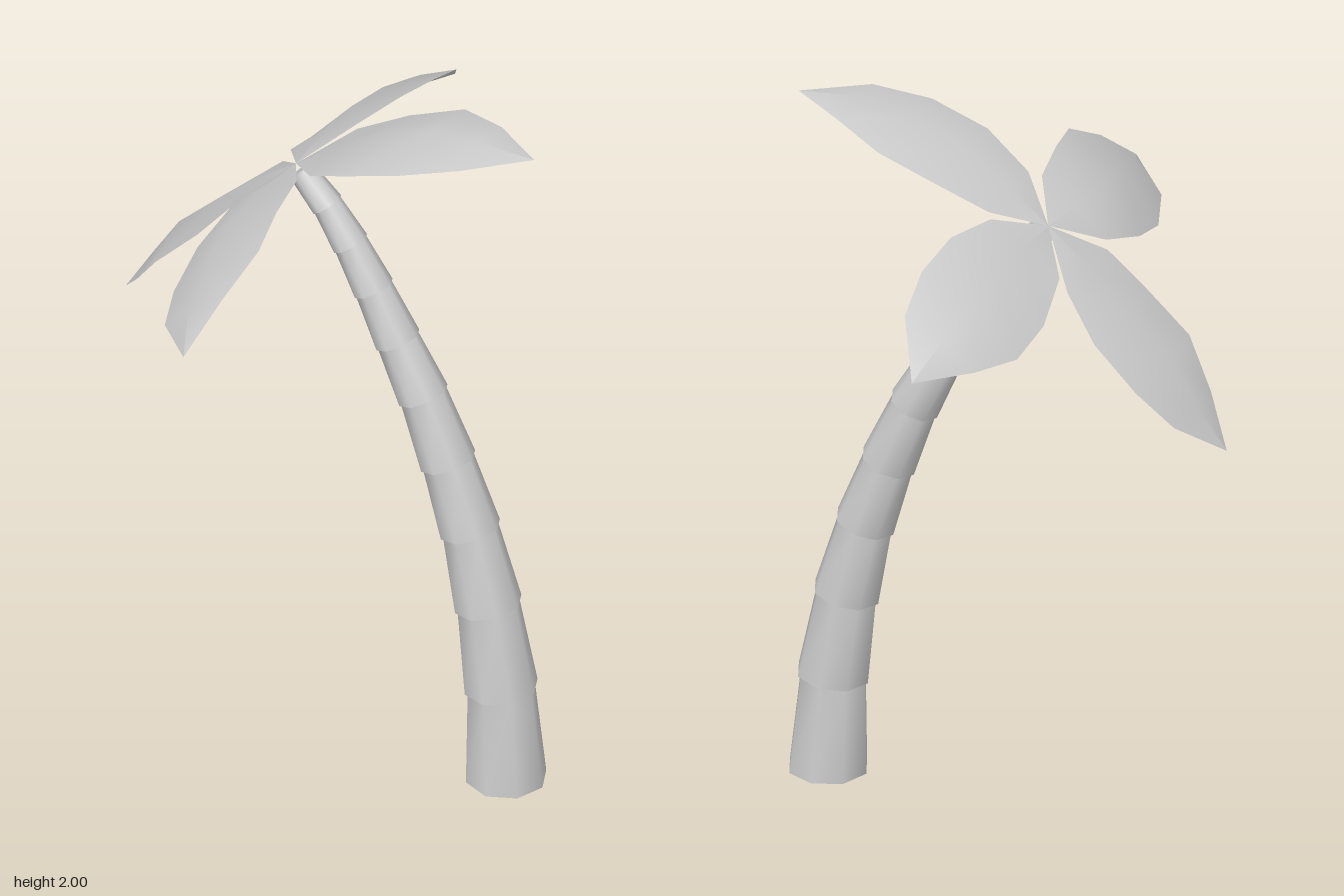
import * as THREE from 'three';

const material = new THREE.MeshStandardMaterial({ color: 0xcccccc, side: THREE.DoubleSide });

function makeMesh(name, points, index) {
  const geometry = new THREE.BufferGeometry().setFromPoints(points);
  geometry.setIndex(index);
  geometry.computeVertexNormals();
  const mesh = new THREE.Mesh(geometry, material);
  mesh.name = name;
  return mesh;
}

// Eight-sided ring across the trunk path
const SIDES = 8;
function ring(center, tangent, radius) {
  const across = new THREE.Vector3(tangent.y, -tangent.x, 0).normalize();
  return Array.from({ length: SIDES }, (_, i) => {
    const a = (i / SIDES) * Math.PI * 2;
    return center.clone().addScaledVector(across, radius * Math.cos(a))
      .add(new THREE.Vector3(0, 0, radius * Math.sin(a)));
  });
}

// Band of faces between two rings
function band(name, lower, upper) {
  const index = [];
  for (let i = 0; i < SIDES; i++) {
    const j = (i + 1) % SIDES;
    index.push(i, i + SIDES, j, j, i + SIDES, j + SIDES);
  }
  return makeMesh(name, [...lower, ...upper], index);
}

// Curved trunk of tapered segments, each overhanging the one below
function makeTrunk() {
  const trunk = new THREE.Group();
  trunk.name = 'trunk';
  const joints = [ // x, y, radius
    [0.52, 0, 0.11], [0.505, 0.28, 0.1], [0.466, 0.53, 0.092], [0.412, 0.75, 0.083],
    [0.345, 0.945, 0.077], [0.27, 1.13, 0.07], [0.193, 1.28, 0.063], [0.12, 1.42, 0.056],
    [0.05, 1.54, 0.05], [-0.02, 1.64, 0.044], [-0.1, 1.725, 0.036],
  ];
  const centers = joints.map(([x, y]) => new THREE.Vector3(x, y, 0));
  const last = joints.length - 1;
  const tangents = centers.map((_, i) => i === 0
    ? new THREE.Vector3(0, 1, 0)
    : centers[Math.min(i + 1, last)].clone().sub(centers[i - 1]).normalize());

  for (let i = 0; i < last; i++) {
    const topRadius = joints[i + 1][2] * (i + 1 === last ? 1 : 0.92);
    const bottom = ring(centers[i], tangents[i], joints[i][2]);
    const top = ring(centers[i + 1], tangents[i + 1], topRadius);
    trunk.add(band('trunkSegment', bottom, top));
    const nextRadius = i + 1 === last ? 0 : joints[i + 1][2];
    trunk.add(band(nextRadius ? 'trunkLedge' : 'trunkTop', top,
      ring(centers[i + 1], tangents[i + 1], nextRadius)));
  }
  return trunk;
}

// Leaf blade: two edges (seen looking outward) and a raised midrib
const ROOT = new THREE.Vector3(-0.115, 1.74, 0);
const RAISE = [0.012, 0.03, 0.035, 0.02];
function makeLeaf(name, tipCoords, leftEdge, rightEdge) {
  const tip = new THREE.Vector3(...tipCoords);
  const points = [ROOT, ROOT, ROOT];
  const forward = tip.clone().sub(ROOT);
  leftEdge.forEach((coords, i) => {
    const left = new THREE.Vector3(...coords);
    const right = new THREE.Vector3(...rightEdge[i]);
    const up = right.clone().sub(left).cross(forward).normalize();
    const mid = left.clone().lerp(right, 0.5).addScaledVector(up, RAISE[i]);
    points.push(left, mid, right);
  });
  points.push(tip, tip, tip);
  const index = [];
  const rows = points.length / 3;
  for (let r = 0; r < rows - 1; r++) {
    for (let c = 0; c < 2; c++) {
      const a = r * 3 + c, b = a + 3;
      if (r > 0) index.push(a + 1, b, a);
      if (r < rows - 2) index.push(a + 1, b + 1, b);
      if (r === 0) continue;
    }
  }
  return makeMesh(name, points, index);
}

export function createModel() {
  const palm = new THREE.Group();
  palm.name = 'palmTree';
  palm.add(makeTrunk());

  // Crown of four leaves
  const crown = new THREE.Group();
  crown.name = 'crown';
  crown.add(
    makeLeaf('leftLeaf', [0.605, 1.99, 0],
      [[0, 1.815, -0.125], [0.14, 1.885, -0.157], [0.3, 1.95, -0.17], [0.45, 1.985, -0.1]],
      [[0, 1.815, 0.13], [0.14, 1.89, 0.18], [0.3, 1.945, 0.18], [0.45, 1.98, 0.13]]),
    makeLeaf('rightLeaf', [-0.63, 1.18, 0],
      [[-0.235, 1.64, 0.115], [-0.33, 1.53, 0.15], [-0.45, 1.41, 0.162], [-0.54, 1.29, 0.1]],
      [[-0.23, 1.63, -0.135], [-0.33, 1.52, -0.185], [-0.45, 1.4, -0.185], [-0.54, 1.295, -0.14]]),
    makeLeaf('frontLeaf', [-0.04, 1.585, 0.74],
      [[-0.03, 1.8, 0.15], [0, 1.805, 0.31], [0.03, 1.78, 0.46], [0, 1.7, 0.6]],
      [[-0.225, 1.66, 0.13], [-0.25, 1.6, 0.29], [-0.235, 1.555, 0.445], [-0.175, 1.56, 0.6]]),
    makeLeaf('backLeaf', [-0.05, 1.61, -0.74],
      [[-0.21, 1.67, -0.14], [-0.235, 1.61, -0.3], [-0.225, 1.58, -0.45], [-0.165, 1.595, -0.59]],
      [[-0.015, 1.81, -0.15], [0.03, 1.82, -0.305], [0.045, 1.79, -0.46], [0.03, 1.73, -0.605]]),
  );
  palm.add(crown);
  return palm;
}
